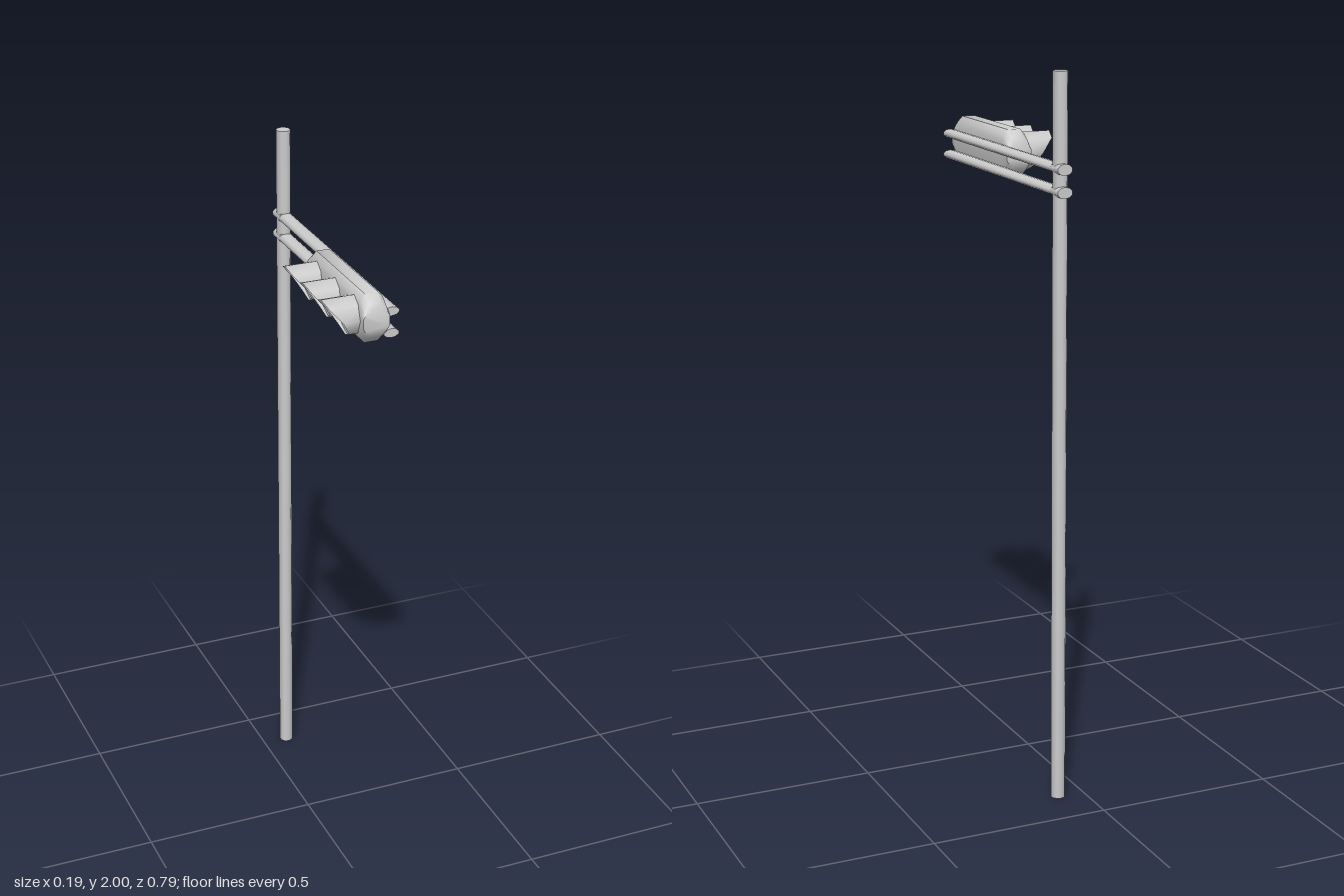
import * as THREE from 'three';
import { toCreasedNormals } from 'three/addons/utils/BufferGeometryUtils.js';

const material = new THREE.MeshStandardMaterial({ color: 0xcccccc, side: THREE.DoubleSide });

function part(name, geometry, crease = 0.9) {
  const mesh = new THREE.Mesh(toCreasedNormals(geometry, crease), material);
  mesh.name = name;
  return mesh;
}

// Skins a list of closed rings (arrays of Vector3); optionally caps both ends.
function loft(rings, capped) {
  const n = rings[0].length;
  const points = rings.flat();
  const index = [];
  for (let r = 0; r < rings.length - 1; r++) {
    for (let i = 0; i < n; i++) {
      const a = r * n + i, b = r * n + (i + 1) % n;
      index.push(a, b, b + n, a, b + n, a + n);
    }
  }
  if (capped) {
    const last = (rings.length - 1) * n;
    for (let i = 1; i < n - 1; i++) {
      index.push(0, i + 1, i, last, last + i, last + i + 1);
    }
  }
  const g = new THREE.BufferGeometry().setFromPoints(points);
  g.setIndex(index);
  return g;
}

// Oval rod along z
function rod(name, x, y, z0, z1, rx, ry) {
  const g = new THREE.CylinderGeometry(1, 1, z1 - z0, 10);
  g.rotateX(Math.PI / 2);
  g.scale(rx, ry, 1);
  g.translate(x, y, (z0 + z1) / 2);
  return part(name, g);
}

// Signal body: chamfered section along z, tapering in height at both ends
function housing() {
  const outline = [[1, -0.5], [1, 0.5], [0.85, 0.8], [0.5, 1], [-0.5, 1], [-0.85, 0.8],
    [-1, 0.5], [-1, -0.5], [-0.85, -0.8], [-0.5, -1], [0.5, -1], [0.85, -0.8]];
  const stations = [[0, 0.027], [0.012, 0.045], [0.037, 0.067],
    [0.356, 0.067], [0.38, 0.045], [0.392, 0.027]];
  const rings = stations.map(([z, h]) =>
    outline.map(([x, y]) => new THREE.Vector3(0.0265 + 0.0365 * x, 1.732 + h * y, z)));
  return part('housing', loft(rings, true), 0.75);
}

// Hood: eight-sided sleeve around the lamp, cut back towards the bottom
function hood(z) {
  const reach = [-0.097, -0.088, -0.056, -0.033, -0.029, -0.033, -0.056, -0.088];
  const ring = (xAt) => reach.map((x, i) => {
    const a = i * Math.PI / 4;
    return new THREE.Vector3(xAt(x), 1.732 + 0.053 * Math.cos(a), z + 0.053 * Math.sin(a));
  });
  return part('hood', loft([ring(() => 0.005), ring((x) => x)], false), 1);
}

// Lamp face inside the hood
function lens(z) {
  const g = new THREE.CylinderGeometry(0.051, 0.051, 0.02, 8);
  g.rotateZ(Math.PI / 2);
  g.translate(-0.014, 1.732, z);
  return part('lens', g, 0.6);
}

export function createModel() {
  const model = new THREE.Group();
  model.name = 'trafficSignal';

  // Upright pole
  const pole = part('pole', new THREE.CylinderGeometry(0.02, 0.02, 2, 10));
  pole.position.set(0.074, 1, -0.362);
  model.add(pole);

  // Twin arms with end collars at the pole
  for (const y of [1.749, 1.689]) {
    model.add(rod('arm', 0.0745, y, -0.37, 0.377, 0.0215, 0.0125));
    model.add(rod('armCollar', 0.0745, y, -0.394, -0.345, 0.0215, 0.0155));
  }

  model.add(housing());

  // Three hooded lamps
  for (const z of [0.073, 0.196, 0.319]) {
    const lamp = new THREE.Group();
    lamp.name = 'lamp';
    lamp.add(hood(z), lens(z));
    model.add(lamp);
  }
  return model;
}
